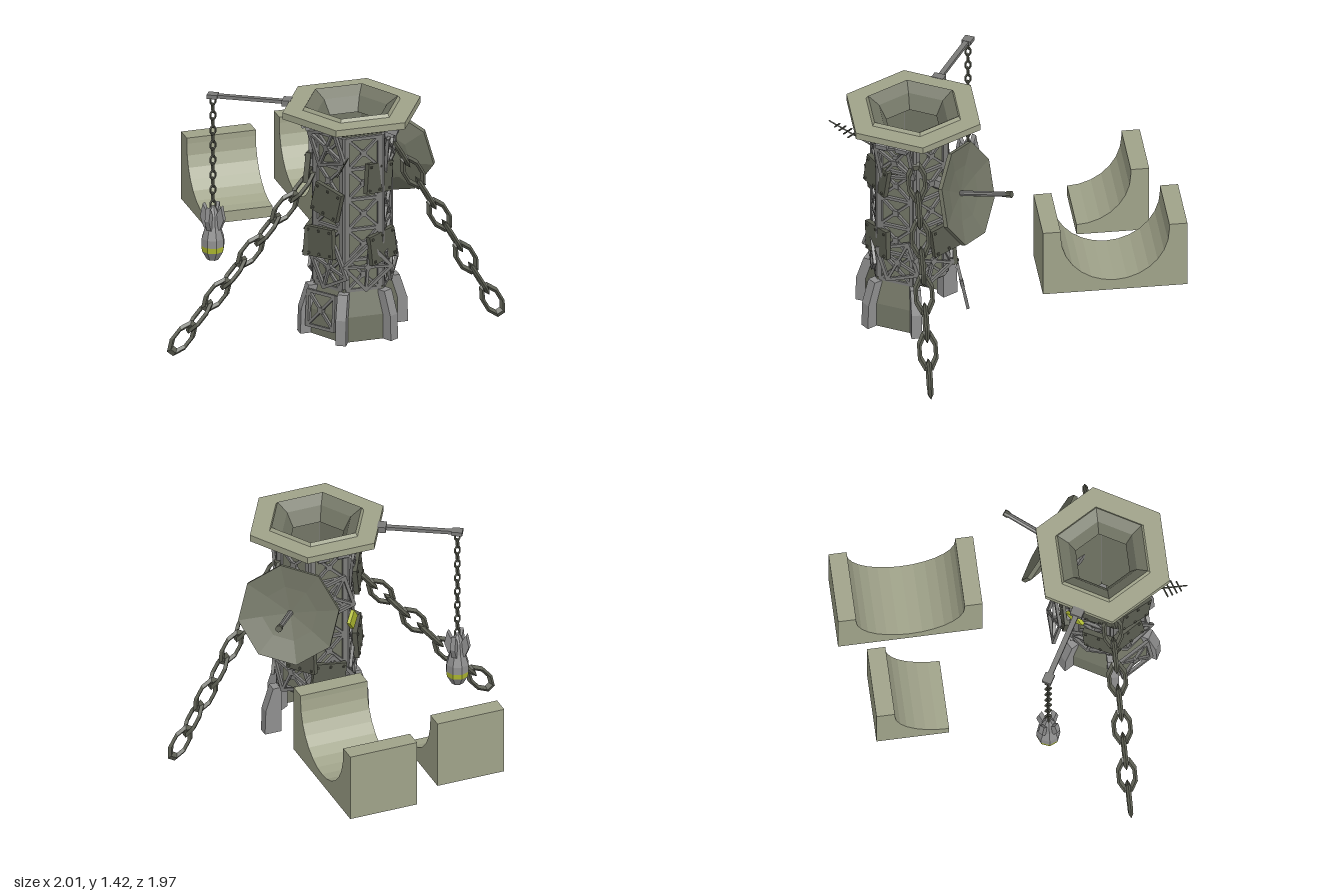
import * as THREE from 'three';
import { mergeGeometries } from 'three/addons/utils/BufferGeometryUtils.js';

const mat = (color, side = THREE.FrontSide) =>
  new THREE.MeshStandardMaterial({ color, flatShading: true, side });
const olive = mat(0xa0a38a, THREE.DoubleSide);
const hull = mat(0x737666, THREE.DoubleSide);
const plateMat = mat(0x5a5c50);
const steel = mat(0x7c7c7a);
const pale = mat(0x8f8f8f);
const chainMat = mat(0x5c5e52);
const yellow = mat(0xb4bf32);

const CX = 0.09, CZ = 0.545, APOTHEM = 0.198;
const rad = THREE.MathUtils.degToRad;

function add(parent, name, geo, material, pos = [0, 0, 0], rot = [0, 0, 0]) {
  const m = new THREE.Mesh(geo, material);
  m.name = name;
  m.position.set(...pos);
  m.rotation.set(...rot);
  parent.add(m);
  return m;
}

const vec2s = pts => pts.map(p => new THREE.Vector2(...p));

// Six-sided shell with corners on +x and -x
const hexLathe = pts => new THREE.LatheGeometry(vec2s(pts), 6, Math.PI / 6);

// Straight rod between two points
function rod(parent, name, a, b, r1, r2, material, sides = 6) {
  const A = new THREE.Vector3(...a), B = new THREE.Vector3(...b);
  const d = B.clone().sub(A);
  const m = add(parent, name, new THREE.CylinderGeometry(r2, r1, d.length(), sides), material);
  m.position.copy(A).addScaledVector(d, 0.5);
  m.quaternion.setFromUnitVectors(new THREE.Vector3(0, 1, 0), d.normalize());
}

// Flat truss panel: frame, crossing braces and a hub in each cell
function trussGeometry(w, h, cells) {
  const bars = [];
  const bar = (x1, y1, x2, y2, t) => {
    const g = new THREE.BoxGeometry(Math.hypot(x2 - x1, y2 - y1) + t * 0.5, t, 0.018);
    g.rotateZ(Math.atan2(y2 - y1, x2 - x1));
    g.translate((x1 + x2) / 2, (y1 + y2) / 2, 0);
    bars.push(g);
  };
  const x = w / 2, step = h / cells;
  bar(-x, -h / 2, -x, h / 2, 0.02);
  bar(x, -h / 2, x, h / 2, 0.02);
  for (let i = 0; i <= cells; i++) {
    const y = -h / 2 + i * step;
    bar(-x, y, x, y, 0.018);
    if (i === cells) break;
    bar(-x, y, x, y + step, 0.015);
    bar(x, y, -x, y + step, 0.015);
    const hub = new THREE.BoxGeometry(0.035, 0.035, 0.022);
    hub.translate(0, y + step / 2, 0);
    bars.push(hub);
  }
  return mergeGeometries(bars);
}

// Row of links alternating by a quarter turn, in a plane of constant z
function chain(parent, name, a, b, z, count, r, tube, stretch) {
  const g = new THREE.Group();
  g.name = name;
  const link = new THREE.TorusGeometry(r, tube, 4, 8);
  link.rotateZ(Math.PI / 8);
  link.scale(1, stretch, 1);
  const turned = link.clone().rotateY(Math.PI / 2);
  const tilt = Math.atan2(b[1] - a[1], b[0] - a[0]) - Math.PI / 2;
  for (let i = 0; i < count; i++) {
    const t = i / (count - 1);
    add(g, 'chainLink', i % 2 ? turned : link, chainMat,
      [a[0] + (b[0] - a[0]) * t, a[1] + (b[1] - a[1]) * t, z], [0, 0, tilt]);
  }
  parent.add(g);
}

// Block with a round channel along x; near, far and centre given as -z
function cradle(parent, name, x0, x1, near, far, centre) {
  const r = 0.31, cy = 0.755, top = 0.79, s = new THREE.Shape();
  const full = near < centre, steps = full ? 14 : 7;
  s.moveTo(near, 0.38);
  s.lineTo(far, 0.38);
  s.lineTo(far, top);
  s.lineTo(centre + r, top);
  for (let i = 0; i <= steps; i++) {
    const a = -Math.PI * i / 14;
    s.lineTo(centre + r * Math.cos(a), cy + r * Math.sin(a));
  }
  if (full) {
    s.lineTo(centre - r, top);
    s.lineTo(near, top);
  }
  const g = new THREE.ExtrudeGeometry(s, { depth: x1 - x0, bevelEnabled: false });
  g.rotateY(Math.PI / 2);
  add(parent, name, g, olive, [x0, 0, 0]);
}

export function createModel() {
  const root = new THREE.Group();
  root.name = 'latticeTower';
  const tower = new THREE.Group();
  tower.name = 'tower';
  tower.position.set(CX, 0, CZ);
  root.add(tower);

  // Hollow shaft, base skirt open at the back, and platform with its funnel
  add(tower, 'shaft', hexLathe([[0.213, 0.34], [0.213, 1.34]]), hull);
  add(tower, 'base', new THREE.LatheGeometry(vec2s([[0.275, 0.07], [0.275, 0.22], [0.22, 0.4]]),
    4, rad(-150), rad(240)), hull);
  const PZ = [0, 0, -0.022];
  add(tower, 'platformFlare', hexLathe([[0.17, 1.3], [0.25, 1.31], [0.35, 1.37]]), hull, PZ);
  add(tower, 'platform', hexLathe([[0.33, 1.37], [0.41, 1.37], [0.41, 1.41], [0.29, 1.41], [0.277, 1.43]]), olive, PZ);
  add(tower, 'funnel', hexLathe([[0.277, 1.43], [0.21, 1.385], [0.165, 1.3]]), hull, PZ);

  // Buttresses and posts on the corners
  const fin = new THREE.Shape(vec2s([[0.22, 0.07], [0.32, 0.07], [0.315, 0.22], [0.27, 0.36], [0.22, 0.36]]));
  const finGeo = new THREE.ExtrudeGeometry(fin, { depth: 0.06, bevelEnabled: false }).translate(0, 0, -0.03);
  for (let i = 0; i < 6; i++) {
    const a = rad(60 * i);
    if (i < 5) add(tower, 'buttress', finGeo, pale, [0, 0, 0], [0, -a, 0]);
    add(tower, 'cornerPost', new THREE.CylinderGeometry(0.015, 0.015, 0.92, 6), steel,
      [0.225 * Math.cos(a), 0.84, 0.225 * Math.sin(a)]);
  }

  // Truss strips on the six sides
  const faces = {};
  const strip = trussGeometry(0.19, 0.92, 5);
  for (let phi = 30; phi < 360; phi += 60) {
    const f = new THREE.Group();
    f.name = 'towerSide';
    f.rotation.y = rad(90 - phi);
    tower.add(f);
    faces[phi] = f;
    add(f, 'trussStrip', strip, steel, [0, 0.83, APOTHEM]);
  }

  // Loose truss panels fixed over the strips: side, offset, height, roll, lean, distance
  const panel = trussGeometry(0.2, 0.2, 1);
  for (const [phi, u, y, roll, lean, out] of [
    [90, 0.02, 0.51, 0.72, 0.05, 0.22], [30, 0.02, 0.52, 0.35, -0.05, 0.22], [30, 0, 1.18, 0.15, 0.1, 0.22],
    [150, 0, 1.22, 0.3, 0.12, 0.22], [150, 0.02, 0.5, 0.5, 0, 0.22], [210, 0, 0.5, 0.6, 0, 0.22],
    [210, 0, 1.15, 0.25, 0.1, 0.22], [270, 0, 0.48, 0.7, 0.05, 0.22], [270, 0.02, 1, 0.3, 0, 0.22],
    [330, 0, 0.5, 0.4, -0.1, 0.22], [270, -0.07, 0.26, 0.1, -0.2, 0.29], [150, 0, 0.24, 0.06, -0.12, 0.265]])
    add(faces[phi], 'trussPanel', panel, steel, [u, y, out], [lean, 0, roll]);

  // Riveted armour plates: side, offset, height, distance, yaw, roll
  const bits = [new THREE.BoxGeometry(0.2, 0.175, 0.03)];
  for (const x of [-0.08, 0, 0.08]) for (const y of [-0.068, 0.068])
    bits.push(new THREE.BoxGeometry(0.012, 0.012, 0.012).translate(x, y, 0.017));
  const plate = mergeGeometries(bits);
  for (const [phi, u, y, out, yaw, roll] of [
    [90, 0.09, 1.04, 0.195, 0.5, -0.12], [90, 0.11, 0.62, 0.195, 0.5, 0.12],
    [150, -0.03, 0.64, 0.235, 0, 0.1], [150, 0.02, 0.9, 0.235, 0, -0.2],
    [330, 0.08, 0.64, 0.235, 0, 0.1], [210, 0.05, 1.05, 0.235, 0, 0.2],
    [210, 0.06, 0.62, 0.235, 0, 0.1], [270, -0.02, 0.5, 0.24, 0, -0.15]])
    add(faces[phi], 'armourPlate', plate, plateMat, [u, y, out], [-0.06, yaw, roll]);
  add(faces[210], 'yellowTile', new THREE.BoxGeometry(0.085, 0.085, 0.02), yellow,
    [-0.1, 0.82, 0.225], [0, -0.25, 0.7]);

  // Clamp blocks under the platform
  for (const phi of [30, 210, 270]) for (const u of [-0.06, 0.06]) {
    add(faces[phi], 'clampBlock', new THREE.BoxGeometry(0.07, 0.035, 0.09), pale, [u, 1.315, 0.235], [0.3, 0, 0]);
    add(faces[phi], 'clampFoot', new THREE.BoxGeometry(0.05, 0.03, 0.06), pale, [u, 1.285, 0.225]);
  }

  // Dish with its feed rod
  const dish = new THREE.Group();
  dish.name = 'dish';
  dish.position.set(0.36, 0.995, 0.275);
  dish.quaternion.setFromUnitVectors(new THREE.Vector3(0, 1, 0), new THREE.Vector3(0.55, 0.26, -0.8).normalize());
  root.add(dish);
  const bowl = vec2s([[0, -0.05], [0.17, -0.035], [0.295, 0.01], [0.295, 0.035], [0.16, 0.005], [0, -0.015]]);
  add(dish, 'dishBowl', new THREE.LatheGeometry(bowl, 8, Math.PI / 8), hull);
  rod(dish, 'feedRod', [0, -0.02, 0], [0, 0.3, 0], 0.017, 0.015, steel, 8);
  rod(dish, 'feedTip', [0, 0.29, 0], [0, 0.32, 0], 0.02, 0.02, chainMat, 8);
  rod(root, 'dishMount', [0.22, 1.0, 0.42], [0.34, 1.0, 0.29], 0.04, 0.04, steel);

  // Anchor chains
  chain(root, 'rightAnchorChain', [-0.92, 0.115], [-0.21, 0.955], 0.54, 8, 0.05, 0.0135, 1.95);
  chain(root, 'leftAnchorChain', [0.92, 0.125], [0.37, 1.1], 0.54, 8, 0.05, 0.0135, 1.95);

  // Boom, thin chain and hanging bomb
  const HX = -0.605, HZ = 0.12;
  const boom = new THREE.Group();
  boom.name = 'boom';
  boom.position.set(HX, 1.395, HZ);
  boom.rotation.y = -Math.atan2(0.22, 0.38);
  root.add(boom);
  add(boom, 'boomBeam', new THREE.BoxGeometry(0.46, 0.02, 0.03), steel, [0.2, 0, 0]);
  add(boom, 'boomEnd', new THREE.BoxGeometry(0.06, 0.024, 0.055), steel);
  add(boom, 'boomBracket', new THREE.BoxGeometry(0.05, 0.035, 0.07), steel, [0.43, 0, 0]);
  chain(root, 'hangingChain', [HX, 1.365], [HX, 0.73], HZ, 15, 0.016, 0.006, 1.6);

  const bomb = new THREE.Group();
  bomb.name = 'bomb';
  bomb.position.set(HX, 0, HZ);
  root.add(bomb);
  const shell = pts => new THREE.LatheGeometry(vec2s(pts), 8);
  add(bomb, 'bombNose', shell([[0, 0.4], [0.035, 0.4], [0.064, 0.452]]), pale);
  add(bomb, 'bombBand', shell([[0.064, 0.452], [0.069, 0.485]]), yellow);
  add(bomb, 'bombBody', shell([[0.069, 0.485], [0.067, 0.53], [0.045, 0.6], [0.038, 0.67], [0.015, 0.72], [0, 0.72]]), pale);
  const tail = new THREE.Shape(vec2s([[0.03, 0.57], [0.052, 0.59], [0.075, 0.65], [0.058, 0.73], [0.03, 0.68]]));
  const tailGeo = new THREE.ExtrudeGeometry(tail, { depth: 0.028, bevelEnabled: false }).translate(0, 0, -0.014);
  for (let i = 0; i < 4; i++) add(bomb, 'bombFin', tailGeo, pale, [0, 0, 0], [0, Math.PI * (i / 2 + 0.25), 0]);

  // Comb aerial
  const from = new THREE.Vector3(-0.04, 1.1, 0.74), to = new THREE.Vector3(-0.1, 1.25, 0.98);
  rod(root, 'aerialRod', from.toArray(), to.toArray(), 0.005, 0.004, chainMat, 5);
  const across = new THREE.Vector3(0.55, 0.62, -0.3).normalize();
  for (let i = 0; i < 4; i++) {
    const c = from.clone().lerp(to, 0.45 + i * 0.12), half = 0.065 - i * 0.01;
    rod(root, 'aerialBar', c.clone().addScaledVector(across, -half).toArray(),
      c.clone().addScaledVector(across, half).toArray(), 0.005, 0.005, chainMat, 5);
  }

  // Channel blocks behind the tower
  cradle(root, 'largeCradle', 0.11, 0.52, 0.16, 0.985, 0.572);
  cradle(root, 'smallCradle', -0.485, -0.075, 0.43, 0.845, 0.43);
  return root;
}
